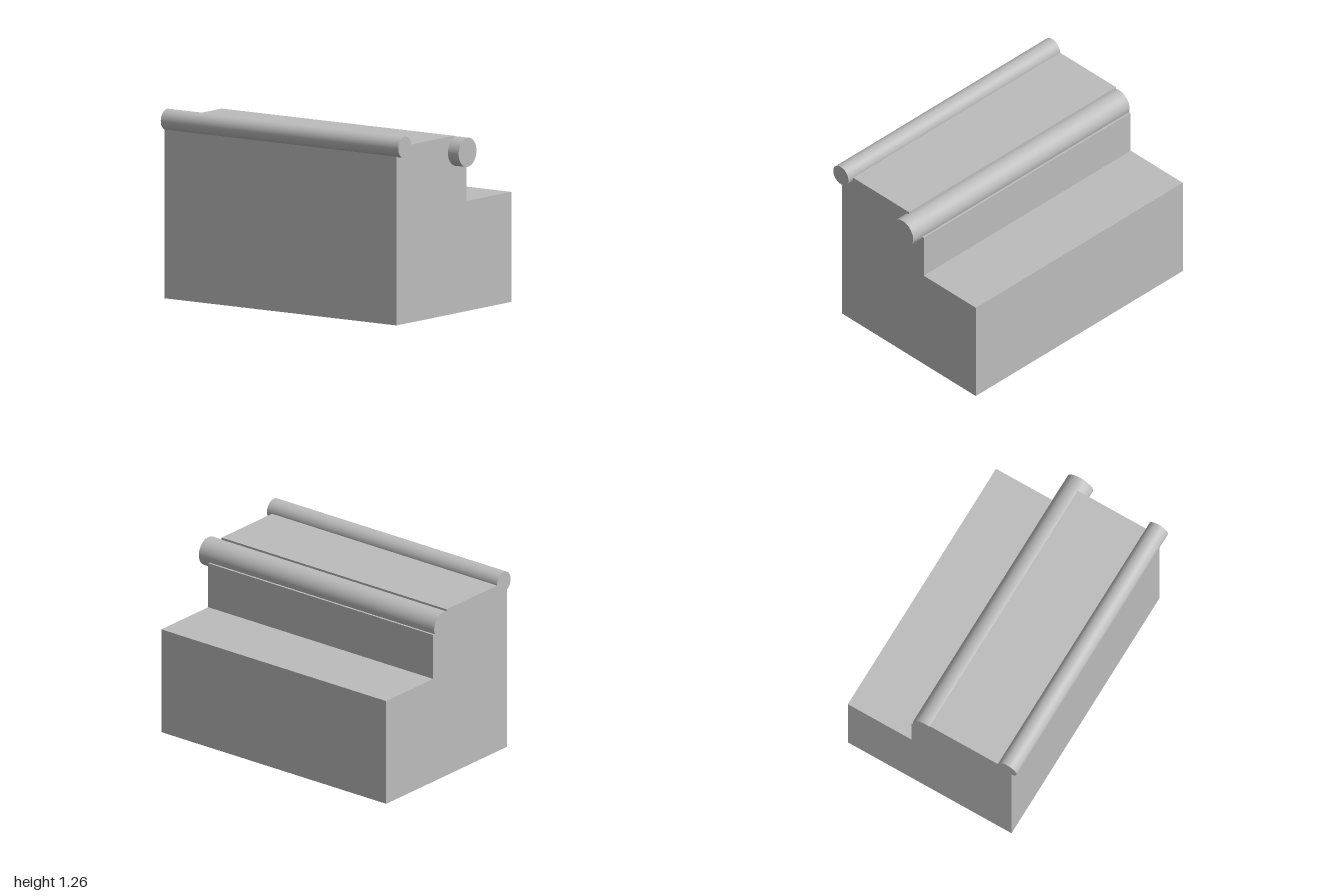
import * as THREE from 'three';

const BACK = -1;

export function createModel() {
  const group = new THREE.Group();
  const grey = new THREE.MeshStandardMaterial({ color: 0xbcbcbc });
  grey.name = 'light grey';

  // Stepped block with a notch along its upper edge for the large rod
  const profile = [
    [-0.607, 0], [0.642, 0], [0.642, 0.732], [0.156, 0.732],
    [0.156, 1.045], [0.018, 1.045], [0.018, 1.183], [-0.607, 1.183],
  ];
  const shape = new THREE.Shape(profile.map(([x, y]) => new THREE.Vector2(x, y)));
  const bodyGeometry = new THREE.ExtrudeGeometry(shape, { depth: 0.912 - BACK, bevelEnabled: false });
  bodyGeometry.translate(0, 0, BACK);
  const body = new THREE.Mesh(bodyGeometry, grey);
  body.name = 'steppedBlock';
  group.add(body);

  // Rods lying along the upper edges, flush with the back
  const addRod = (name, x, y, radius, front) => {
    const length = front - BACK;
    const geometry = new THREE.CylinderGeometry(radius, radius, length, 48);
    geometry.rotateX(Math.PI / 2);
    const rod = new THREE.Mesh(geometry, grey);
    rod.name = name;
    rod.position.set(x, y, BACK + length / 2);
    group.add(rod);
  };
  addRod('smallRod', -0.575, 1.185, 0.071, 0.955);
  addRod('largeRod', 0.049, 1.077, 0.097, 1);

  return group;
}
